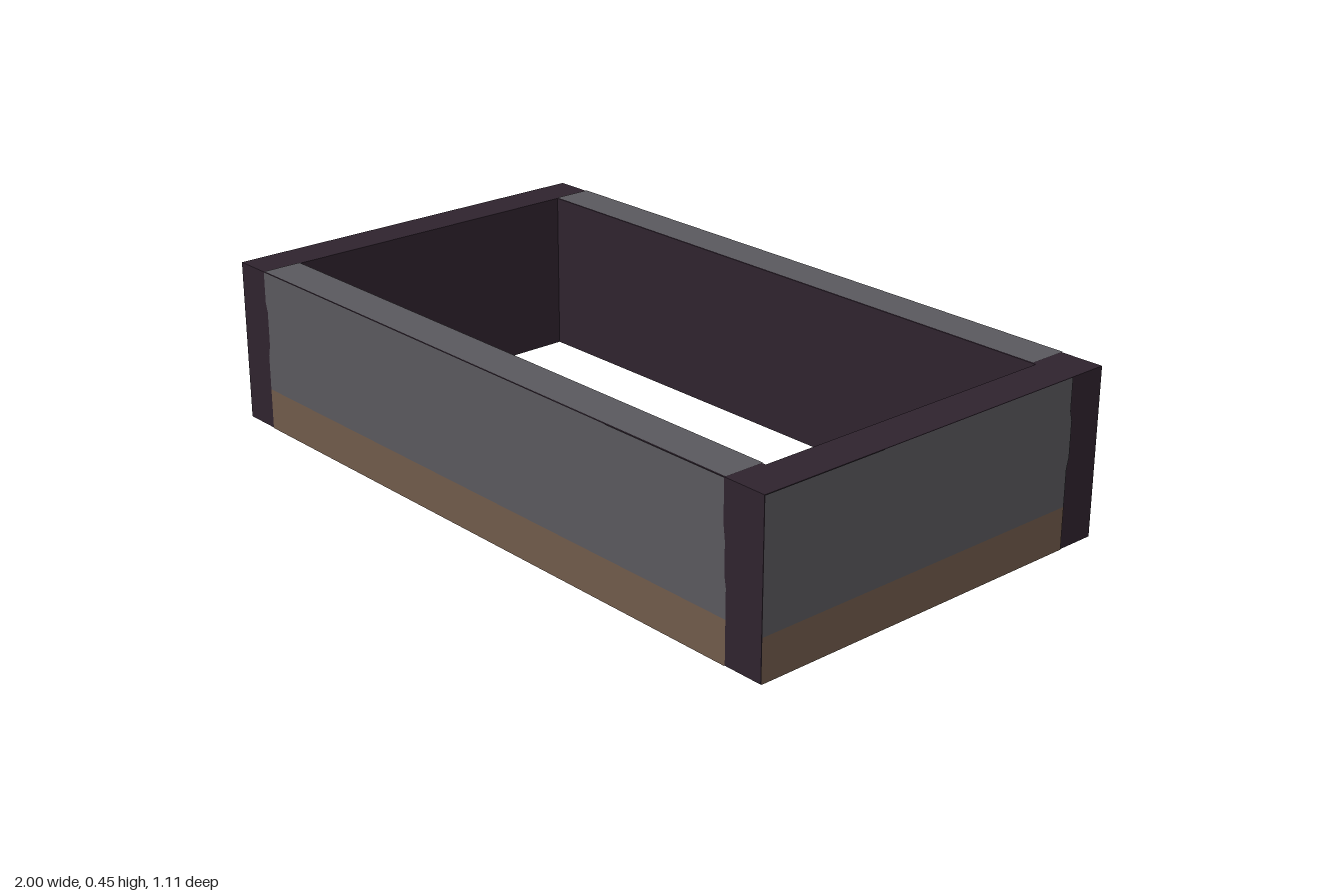
import * as THREE from 'three';

const H = 0.445, D = 0.555, T = 0.11, BAND = 0.113, LIFT = 0.002;

export function createModel() {
  const mat = (name, color) => {
    const m = new THREE.MeshStandardMaterial({ color });
    m.name = name;
    return m;
  };
  const dark = mat('darkPurple', 0x2f232e);
  const grey = mat('slateGrey', 0x59585d);
  const brown = mat('earthBrown', 0x705a4a);

  const model = new THREE.Group();
  model.name = 'openFrame';

  const shapeOf = (pts) => new THREE.Shape(pts.map(([x, y]) => new THREE.Vector2(x, y)));
  const rect = (x0, y0, x1, y1) => [[x0, y0], [x1, y0], [x1, y1], [x0, y1]];
  const plate = (parent, name, pts, material) => {
    const mesh = new THREE.Mesh(new THREE.ShapeGeometry(shapeOf(pts)), material);
    mesh.name = name;
    parent.add(mesh);
    return mesh;
  };

  // Rectangular ring of four thick walls
  const ring = shapeOf(rect(-1, -D, 1, D));
  ring.holes.push(shapeOf(rect(-1 + T, -D + T, 1 - T, D - T)));
  const ringGeo = new THREE.ExtrudeGeometry(ring, { depth: H, bevelEnabled: false });
  ringGeo.rotateX(-Math.PI / 2);
  const walls = new THREE.Mesh(ringGeo, dark);
  walls.name = 'walls';
  model.add(walls);

  // Outer side: local x runs along the wall, local z points outward
  const side = (name, angle, distance) => {
    const g = new THREE.Group();
    g.name = name;
    g.rotation.y = angle;
    g.position.set(Math.sin(angle) * (distance + LIFT), 0, Math.cos(angle) * (distance + LIFT));
    model.add(g);
    return g;
  };

  // Slightly wavy ends of the grey panels, as [height, offset]
  const leftWave = [[H, 0], [0.36, 0], [0.335, 0.007], [0.24, 0.007], [0.21, 0], [BAND, 0]];
  const rightWave = [[BAND, 0], [0.19, 0], [0.22, -0.005], [0.3, -0.005], [0.34, -0.01], [H, -0.01]];

  // Front and back: grey panel over a brown band, with a grey strip on top
  for (const [name, angle, z] of [['front', 0, D - T / 2], ['back', Math.PI, -D + T / 2]]) {
    const g = side(name + 'Side', angle, D);
    plate(g, name + 'Panel', [
      ...leftWave.map(([y, o]) => [-0.89 + o, y]),
      ...rightWave.map(([y, o]) => [0.89 + o, y]),
    ], grey);
    plate(g, name + 'Band', rect(-0.89, 0, 0.89, BAND), brown);
    const top = plate(model, name + 'TopStrip', rect(-0.89, -T / 2, 0.882, T / 2), grey);
    top.rotation.x = -Math.PI / 2;
    top.position.set(0, H + LIFT, z);
  }

  // Left side (+x): panel and band reach the front corner
  const plus = side('leftSide', Math.PI / 2, 1);
  plate(plus, 'leftPanel', [
    [-D, H], [-D, BAND],
    ...leftWave.slice().reverse().map(([y, o]) => [D - T + o, y]),
  ], grey);
  plate(plus, 'leftBand', rect(-D, 0, D - T, BAND), brown);

  // Right side (-x): staggered rows of grey tiles with cut corners
  const minus = side('rightSide', -Math.PI / 2, 1);
  const w = 0.047, h = 0.045, c = 0.026;
  const tile = [[-w + c, -h], [w - c, -h], [w, -h + c], [w, h - c],
    [w - c, h], [-w + c, h], [-w, h - c], [-w, -h + c]];
  const rows = [[0.167, 2], [0.278, 1], [0.389, 2]];
  for (const [y, first] of rows) {
    for (let k = first; k < 10; k += 2) {
      plate(minus, 'tile', tile, grey).position.set(-0.5 + k * 0.111, y, 0);
    }
  }
  return model;
}
